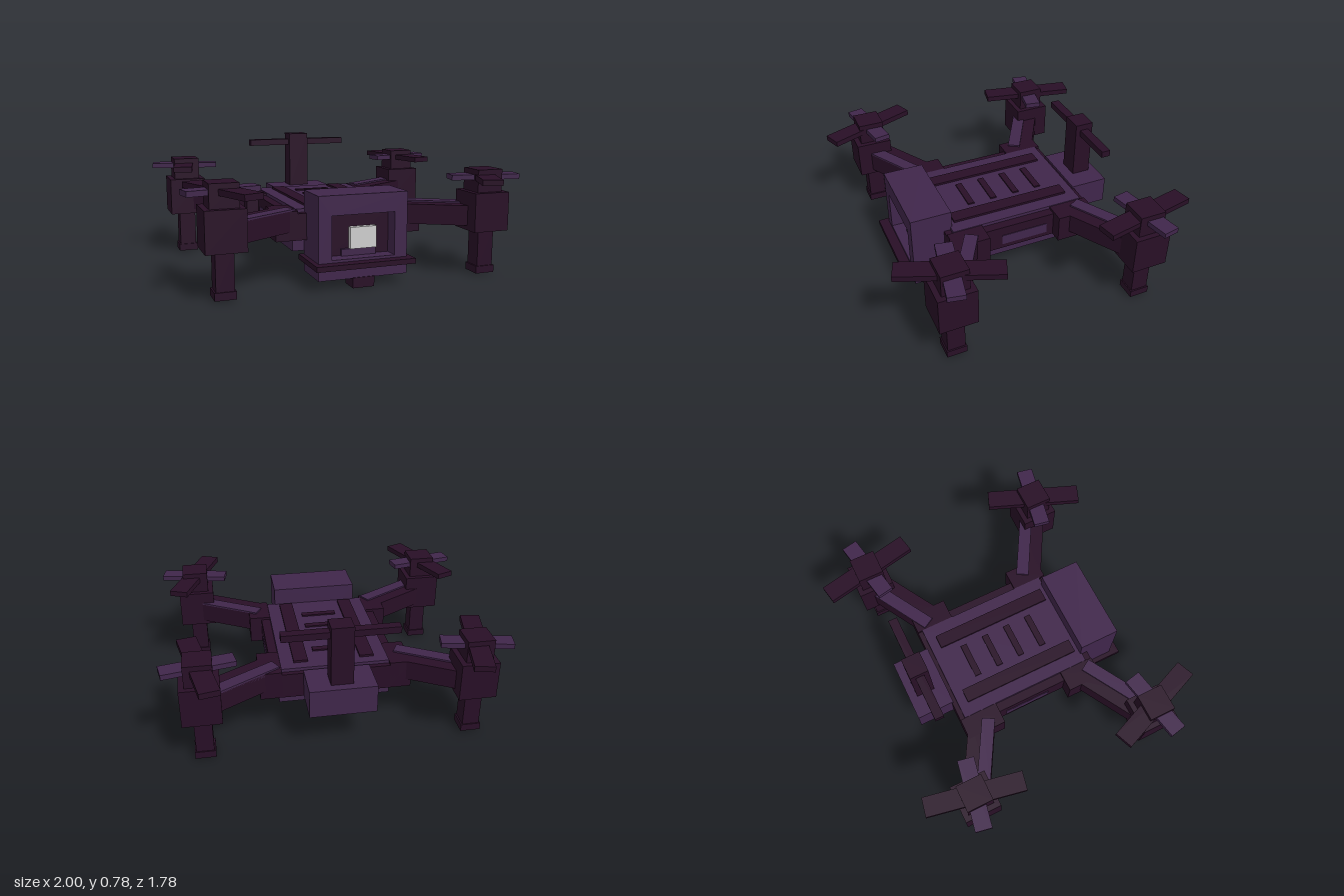
import * as THREE from 'three';

const dark = new THREE.MeshStandardMaterial({ color: 0x280f26 });
dark.name = 'dark plum';
const purple = new THREE.MeshStandardMaterial({ color: 0x40264b });
purple.name = 'muted purple';
const grey = new THREE.MeshStandardMaterial({ color: 0xcfcfcf });
grey.name = 'light grey';

// Box given by its extents along each axis
function box(parent, name, mat, [x0, x1], [y0, y1], [z0, z1]) {
  const m = new THREE.Mesh(new THREE.BoxGeometry(x1 - x0, y1 - y0, z1 - z0), mat);
  m.position.set((x0 + x1) / 2, (y0 + y1) / 2, (z0 + z1) / 2);
  m.name = name;
  parent.add(m);
  return m;
}
const half = (h) => [-h, h];

function createBody() {
  const g = new THREE.Group();
  g.name = 'body';
  box(g, 'hull', dark, half(0.375), [0.25, 0.405], [-0.47, 0.44]);
  box(g, 'bellyPlate', purple, half(0.335), [0.175, 0.25], [-0.405, 0.38]);
  box(g, 'topPlate', purple, half(0.32), [0.4, 0.425], [-0.44, 0.4]);
  for (const s of [-1, 1]) {
    const side = (a, b) => (s > 0 ? [a, b] : [-b, -a]);
    box(g, 'rearCornerBlock', dark, side(0.32, 0.45), [0.25, 0.42], [-0.47, -0.23]);
    box(g, 'frontCornerBlock', dark, side(0.32, 0.45), [0.25, 0.42], [0.22, 0.44]);
    box(g, 'topStrip', dark, side(0.155, 0.24), [0.42, 0.438], [-0.38, 0.365]);
    box(g, 'sidePanel', purple, side(0.37, 0.379), [0.28, 0.345], [-0.185, 0.11]);
  }
  for (let i = 0; i < 4; i++) {
    const z = -0.247 + i * 0.15;
    box(g, 'ventSlat', dark, half(0.11), [0.42, 0.434], [z - 0.02, z + 0.02]);
  }
  return g;
}

function createCameraHead() {
  const g = new THREE.Group();
  g.name = 'cameraHead';
  // Square housing with a rectangular recess
  const shape = new THREE.Shape([[-0.268, 0.15], [0.268, 0.15], [0.268, 0.533], [-0.268, 0.533]].map((p) => new THREE.Vector2(...p)));
  shape.holes.push(new THREE.Path([[-0.19, 0.17], [-0.19, 0.42], [0.19, 0.42], [0.19, 0.17]].map((p) => new THREE.Vector2(...p))));
  const frame = new THREE.Mesh(new THREE.ExtrudeGeometry(shape, { depth: 0.25, bevelEnabled: false }), purple);
  frame.position.z = 0.39;
  frame.name = 'housing';
  g.add(frame);
  box(g, 'recessBack', dark, half(0.19), [0.17, 0.42], [0.39, 0.55]);
  box(g, 'lensMount', purple, half(0.105), [0.17, 0.21], [0.54, 0.57]);
  box(g, 'lens', grey, [-0.055, 0.105], [0.21, 0.335], [0.54, 0.58]);
  box(g, 'collarPlate', dark, half(0.297), [0.125, 0.155], [0.375, 0.7]);
  box(g, 'lowerHousing', purple, half(0.268), [0.056, 0.13], [0.39, 0.64]);
  box(g, 'bottomPeg', dark, half(0.065), [0, 0.06], [0.535, 0.645]);
  return g;
}

function createTail() {
  const g = new THREE.Group();
  g.name = 'tail';
  box(g, 'tailBox', purple, half(0.195), [0.25, 0.42], [-0.695, -0.46]);
  box(g, 'mast', dark, half(0.065), [0.41, 0.78], [-0.645, -0.53]);
  box(g, 'mastBar', dark, half(0.335), [0.702, 0.742], [-0.615, -0.56]);
  return g;
}

// Rotor pod built around its own vertical axis
function createPod(sx, sz) {
  const g = new THREE.Group();
  g.name = (sz > 0 ? 'front' : 'rear') + (sx > 0 ? 'Left' : 'Right') + 'Rotor';
  g.position.set(sx * 0.787, 0, sz * 0.59);
  box(g, 'motor', dark, half(0.112), [0.273, 0.503], half(0.112));
  box(g, 'motorCap', dark, half(0.08), [0.5, 0.636], half(0.08));
  box(g, 'leg', dark, half(0.051), [0.04, 0.28], half(0.053));
  box(g, 'foot', dark, half(0.06), [0.01, 0.054], half(0.06));
  // Long and short crossing blades
  const long = box(g, 'longBlade', dark, half(0.0575), [0.572, 0.606], half(0.295));
  long.rotation.y = -sx * sz * THREE.MathUtils.degToRad(sz > 0 ? 21.5 : 11.5);
  const short = box(g, 'shortBlade', purple, half(0.207), [0.573, 0.604], half(0.05));
  short.rotation.y = -sx * sz * THREE.MathUtils.degToRad(11);

  // Arm running inward to the hull, with a rail along one edge
  const arm = new THREE.Group();
  arm.name = 'arm';
  arm.rotation.y = Math.atan2(sz * 0.5, -sx * 0.866);
  box(arm, 'armBeam', dark, [0.05, 0.5], [0.3, 0.42], half(0.08));
  const off = -0.04 * sz * sx * sz;
  const lateral = sx > 0 ? -off : off;
  const rail = lateral * -sx;
  box(arm, 'armRail', purple, [0.08, 0.485], [0.4, 0.43], [rail * -sx - 0.04, rail * -sx + 0.04]);
  g.add(arm);
  return g;
}

export function createModel() {
  const model = new THREE.Group();
  model.name = 'drone';
  model.add(createBody(), createCameraHead(), createTail());
  for (const sx of [-1, 1]) for (const sz of [-1, 1]) model.add(createPod(sx, sz));
  return model;
}
